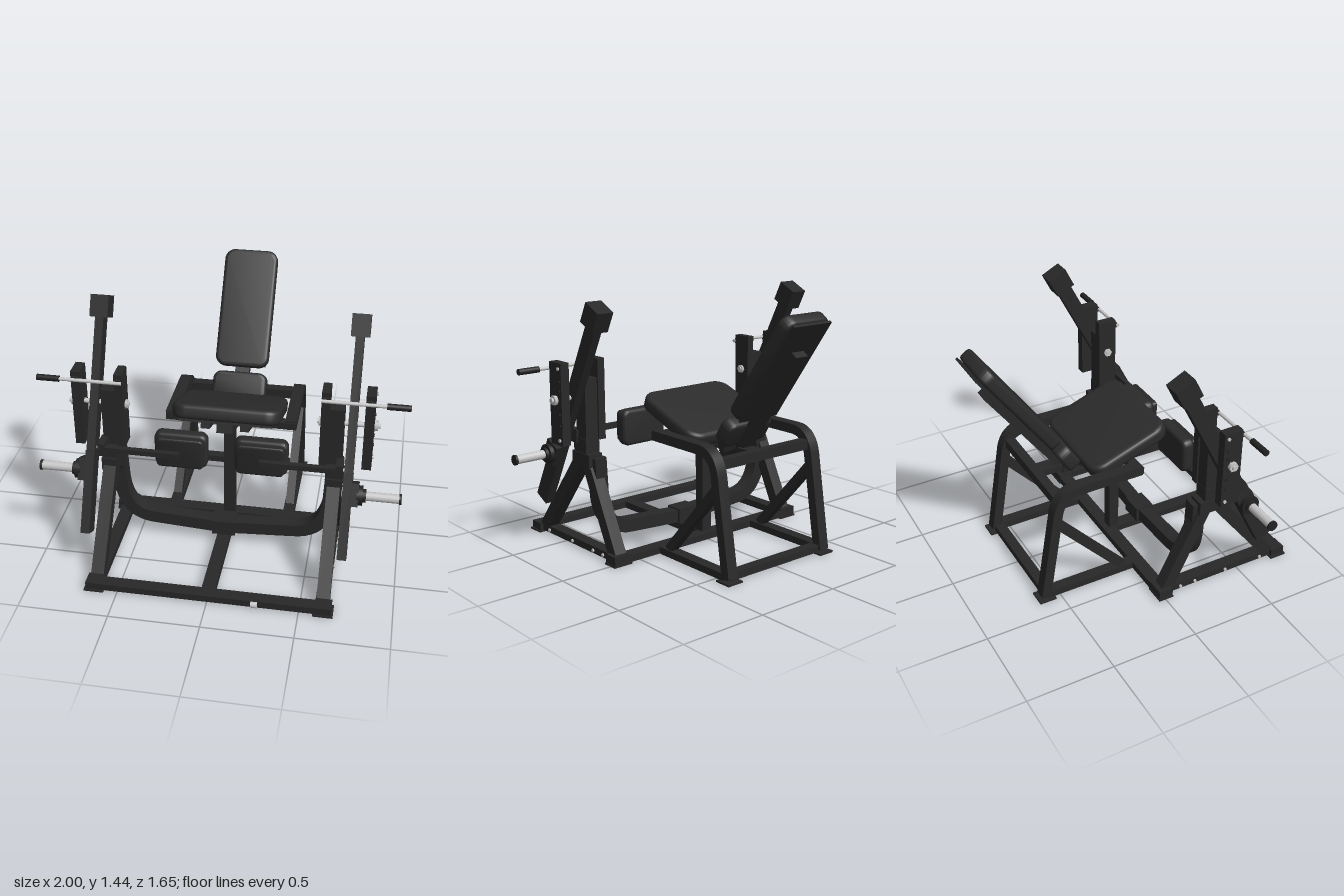
import * as THREE from 'three';
import { toCreasedNormals } from 'three/addons/utils/BufferGeometryUtils.js';

const mat = (name, color) => {
  const m = new THREE.MeshStandardMaterial({ color });
  m.name = name;
  return m;
};

export function createModel() {
  const root = new THREE.Group();
  root.name = 'legPressMachine';
  const frame = mat('black painted steel', 0x282828);
  const vinyl = mat('charcoal vinyl', 0x2b2b2b);
  const rubber = mat('black rubber', 0x222222);
  const chrome = mat('chrome', 0xc6c6c6);

  const add = (name, geo, m, x, y, z, rx = 0) => {
    const mesh = new THREE.Mesh(geo, m);
    mesh.name = name;
    mesh.position.set(x, y, z);
    mesh.rotation.x = rx;
    root.add(mesh);
    return mesh;
  };
  const box = (name, w, h, d, x, y, z, rx = 0, m = frame) =>
    add(name, new THREE.BoxGeometry(w, h, d), m, x, y, z, rx);
  // straight tube between two points [y, z] at a fixed x
  const beam = (name, x, a, b, w, t) => {
    const dy = b[0] - a[0], dz = b[1] - a[1];
    return box(name, w, Math.hypot(dy, dz), t, x, (a[0] + b[0]) / 2, (a[1] + b[1]) / 2, Math.atan2(dz, dy));
  };
  // cylinder lying along x
  const rod = (name, r, x0, x1, y, z, m, sides = 20) => {
    const mesh = add(name, new THREE.CylinderGeometry(r, r, Math.abs(x1 - x0), sides), m, (x0 + x1) / 2, y, z);
    mesh.rotation.z = Math.PI / 2;
    return mesh;
  };
  // bent rectangular tube: a path thickened by width and extruded by depth
  const bentTube = (path, width, depth) => {
    const p = path.getPoints(10);
    const offset = (k) => p.map((q, i) => {
      const a = p[Math.max(i - 1, 0)], b = p[Math.min(i + 1, p.length - 1)];
      const t = b.clone().sub(a).normalize();
      return new THREE.Vector2(q.x - t.y * k, q.y + t.x * k);
    });
    const shape = new THREE.Shape([...offset(width / 2), ...offset(-width / 2).reverse()]);
    const g = new THREE.ExtrudeGeometry(shape, { depth, bevelEnabled: false });
    g.translate(0, 0, -depth / 2);
    return toCreasedNormals(g, 0.6);
  };
  // upholstered slab with rounded corners and soft edges, thickness along z
  const cushion = (w, h, t, r, bevel) => {
    const a = w / 2 - bevel, b = h / 2 - bevel;
    const s = new THREE.Shape();
    s.moveTo(-a + r, -b);
    s.lineTo(a - r, -b);
    s.absarc(a - r, -b + r, r, -Math.PI / 2, 0);
    s.absarc(a - r, b - r, r, 0, Math.PI / 2);
    s.absarc(-a + r, b - r, r, Math.PI / 2, Math.PI);
    s.absarc(-a + r, -b + r, r, Math.PI, Math.PI * 1.5);
    const depth = t - 2 * bevel;
    const g = new THREE.ExtrudeGeometry(s, {
      depth, bevelSize: bevel, bevelThickness: bevel, bevelSegments: 4, curveSegments: 6,
    });
    g.translate(0, 0, -depth / 2);
    return toCreasedNormals(g, 0.7);
  };

  // base frame
  box('frontBaseBar', 1.3, 0.04, 0.07, 0, 0.03, 0.775);
  box('middleBaseBar', 1.3, 0.04, 0.075, 0, 0.03, 0);
  box('rearBaseBar', 0.7, 0.04, 0.06, 0, 0.03, -0.57);
  box('centreBaseRail', 0.075, 0.04, 0.74, 0, 0.03, 0.39);
  rod('frontBaseBolt', 0.018, -0.018, 0.018, 0.03, 0.812, chrome).position.x = 0.26;

  // U-shaped cross member with centre sleeve
  const u = new THREE.Path();
  u.moveTo(-0.61, 0.56);
  u.lineTo(-0.6, 0.36);
  u.bezierCurveTo(-0.59, 0.2, -0.52, 0.13, -0.4, 0.125);
  u.lineTo(0, 0.1);
  u.lineTo(0.4, 0.125);
  u.bezierCurveTo(0.52, 0.13, 0.59, 0.2, 0.6, 0.36);
  u.lineTo(0.61, 0.56);
  add('curvedCrossMember', bentTube(u, 0.075, 0.08), frame, 0, 0, 0.22);
  box('crossMemberSleeve', 0.135, 0.09, 0.11, 0, 0.105, 0.22);

  // seat post and rear frame cross bars
  box('seatPost', 0.065, 0.64, 0.058, 0, 0.37, 0.028);
  box('seatCrossBar', 0.75, 0.04, 0.055, 0, 0.68, 0.0);
  box('rearCrossBar', 0.66, 0.055, 0.055, 0, 0.615, -0.47);
  box('backrestBracket', 0.09, 0.035, 0.18, 0, 0.605, -0.4);

  // seat
  const tilt = -0.35;
  add('seatCushion', cushion(0.61, 0.5, 0.085, 0.06, 0.025), vinyl, 0, 0.758, -0.005, -Math.PI / 2 + tilt);
  box('seatBoard', 0.52, 0.018, 0.44, 0, 0.712, 0.012, tilt);
  for (const x of [-0.11, 0.11]) box('seatRunner', 0.05, 0.04, 0.43, x, 0.685, 0.01, tilt);
  box('seatCarrier', 0.09, 0.05, 0.45, 0, 0.672, 0.01, tilt);

  // backrest
  const lean = -0.613;
  add('backCushion', cushion(0.315, 0.7, 0.075, 0.04, 0.02), vinyl, 0, 1.105, -0.575, lean);
  box('backBoard', 0.27, 0.68, 0.014, 0, 1.08, -0.617, lean);
  add('lumbarCushion', cushion(0.32, 0.165, 0.085, 0.03, 0.02), vinyl, 0, 0.722, -0.313, lean + 0.05);
  beam('backrestSpine', 0, [0.64, -0.325], [1.195, -0.725], 0.085, 0.05);

  for (const s of [1, -1]) {
    // base rails, feet and rail bolts
    box('sideBaseRail', 0.07, 0.04, 0.8, s * 0.62, 0.03, 0.39);
    box('rearBaseRail', 0.065, 0.04, 0.58, s * 0.345, 0.03, -0.28);
    box('frontFoot', 0.11, 0.01, 0.1, s * 0.63, 0.005, 0.77);
    box('middleFoot', 0.12, 0.01, 0.09, s * 0.63, 0.005, 0.005);
    box('rearFoot', 0.1, 0.01, 0.1, s * 0.345, 0.005, -0.585);
    box('frontCornerSleeve', 0.085, 0.045, 0.085, s * 0.632, 0.031, 0.77);
    box('middleCornerSleeve', 0.115, 0.05, 0.085, s * 0.627, 0.035, 0.005);
    for (const z of [0.655, 0.415, 0.21, 0.115]) rod('railBolt', 0.01, s * 0.64, s * 0.664, 0.027, z, chrome, 6);

    // rear hoop with diagonal brace
    const h = new THREE.Path();
    h.moveTo(0.02, 0.682);
    h.lineTo(-0.37, 0.682);
    h.quadraticCurveTo(-0.475, 0.682, -0.5, 0.56);
    h.lineTo(-0.588, 0.02);
    add('rearHoop', bentTube(h, 0.055, 0.065), frame, s * 0.345, 0, 0).rotation.y = -Math.PI / 2;
    beam('rearBrace', s * 0.345, [0.05, -0.1], [0.5, -0.505], 0.05, 0.05);

    // A-frame and upright
    beam('aFrameFrontLeg', s * 0.625, [0.04, 0.71], [0.53, 0.33], 0.072, 0.07);
    beam('aFrameRearLeg', s * 0.625, [0.04, 0.02], [0.53, 0.26], 0.072, 0.07);
    box('aFrameCap', 0.09, 0.08, 0.16, s * 0.625, 0.54, 0.29);
    box('upright', 0.08, 0.46, 0.09, s * 0.62, 0.77, 0.29);
    box('uprightCollar', 0.09, 0.09, 0.115, s * 0.62, 0.615, 0.3);

    // pivot plates, pivot bolt and small bolts
    box('innerPivotPlate', 0.045, 0.455, 0.11, s * 0.558, 0.878, 0.29);
    box('outerPivotPlate', 0.052, 0.455, 0.11, s * 0.792, 0.878, 0.29);
    rod('pivotBolt', 0.014, s * 0.515, s * 0.85, 0.9, 0.29, chrome);
    rod('pivotBoltHead', 0.028, s * 0.818, s * 0.838, 0.9, 0.29, chrome, 6);
    rod('pivotBoltNut', 0.025, s * 0.522, s * 0.536, 0.9, 0.29, chrome, 6);
    for (const y of [1.075, 0.68]) rod('plateBolt', 0.01, s * 0.81, s * 0.826, y, 0.258, chrome, 6);
    for (const y of [1.0, 0.95, 0.82, 0.76]) rod('platePin', 0.009, s * 0.81, s * 0.822, y, 0.258, rubber, 8);

    // swinging lever with counterweight block
    beam('lever', s * 0.704, [0.4, 0.54], [1.33, 0.07], 0.047, 0.085);
    beam('leverLowerSleeve', s * 0.704, [0.25, 0.617], [0.66, 0.41], 0.05, 0.1);
    beam('leverTopBlock', s * 0.705, [1.31, 0.08], [1.418, 0.026], 0.1, 0.118);

    // weight peg
    box('pegBracket', 0.04, 0.125, 0.1, s * 0.745, 0.565, 0.455, -0.46);
    rod('pegFlange', 0.054, s * 0.755, s * 0.788, 0.56, 0.457, rubber, 28);
    rod('pegCollar', 0.036, s * 0.785, s * 0.805, 0.56, 0.457, rubber);
    rod('weightPeg', 0.025, s * 0.79, s * 0.985, 0.56, 0.457, chrome);
    rod('pegCap', 0.029, s * 0.98, s * 0.993, 0.56, 0.457, rubber);

    // handle
    rod('handleRod', 0.01, s * 0.535, s * 0.9, 1.065, 0.362, chrome);
    rod('handleGrip', 0.017, s * 0.875, s * 1.0, 1.065, 0.362, rubber);
    for (const x of [0.558, 0.792]) box('handleMount', 0.03, 0.03, 0.03, s * x, 1.065, 0.346);

    // foot pad on its arm
    box('padArm', 0.43, 0.03, 0.03, s * 0.435, 0.667, 0.4);
    box('padArmMount', 0.04, 0.075, 0.1, s * 0.653, 0.667, 0.37);
    rod('padArmBolt', 0.011, s * 0.67, s * 0.685, 0.675, 0.4, chrome, 6);
    add('pad', cushion(0.295, 0.21, 0.07, 0.02, 0.02), vinyl, s * 0.222, 0.665, 0.32);
    add('padBacking', cushion(0.26, 0.18, 0.032, 0.015, 0.008), frame, s * 0.222, 0.665, 0.37);
  }
  return root;
}
